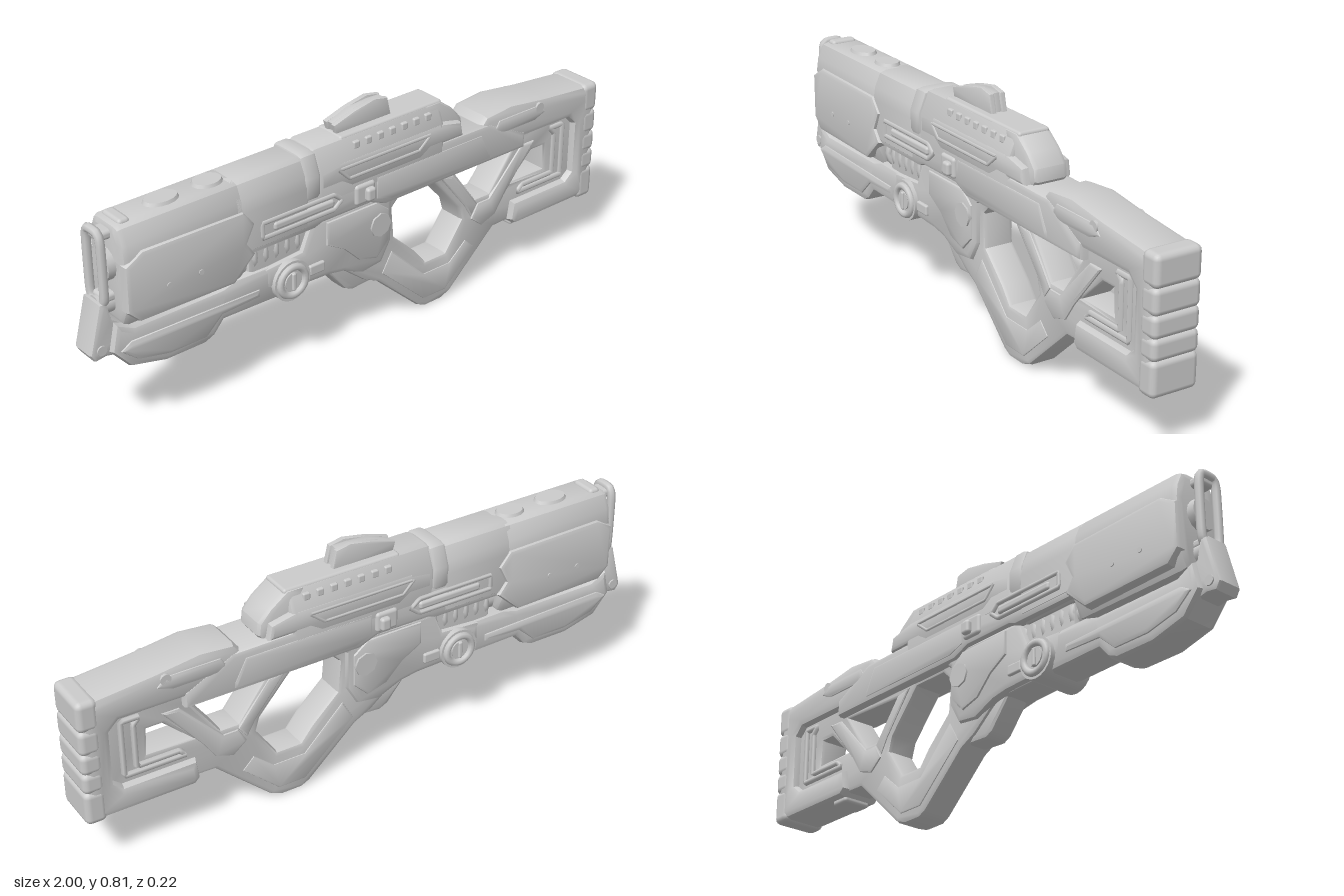
import * as THREE from 'three';
import { toCreasedNormals } from 'three/addons/utils/BufferGeometryUtils.js';
import { RoundedBoxGeometry } from 'three/addons/geometries/RoundedBoxGeometry.js';

const mat = new THREE.MeshStandardMaterial({ color: 0xcccccc, roughness: 0.8 });

export function createModel() {
  const model = new THREE.Group();
  const vecs = (pts) => pts.map(([x, y]) => new THREE.Vector2(x, y));

  function add(name, geo, x = 0, y = 0, z = 0) {
    const mesh = new THREE.Mesh(geo, mat);
    mesh.name = name;
    mesh.position.set(x, y, z);
    model.add(mesh);
    return mesh;
  }
  // Outline extruded to a bevelled solid of the given length, centred on its axis
  function solid(pts, length, bevel, holes = []) {
    const shape = new THREE.Shape(vecs(pts));
    holes.forEach((h) => shape.holes.push(new THREE.Path(vecs(h))));
    const geo = new THREE.ExtrudeGeometry(shape, {
      depth: length - 2 * bevel, bevelThickness: bevel, bevelSize: bevel, bevelOffset: -bevel, bevelSegments: 2,
    });
    geo.translate(0, 0, -length / 2 + bevel);
    return toCreasedNormals(geo, 0.6);
  }
  // Side outline (x, y) given thickness across z
  const slab = (name, pts, half, bevel = 0.015, holes = []) => add(name, solid(pts, half * 2, bevel, holes));
  // Right half of a cross-section (z, y), mirrored and swept along x
  function beam(name, halfSection, x0, x1, bevel = 0.015) {
    const mirrored = halfSection.map(([z, y]) => [-z, y]).reverse();
    const geo = solid([...halfSection, ...mirrored], x1 - x0, bevel);
    geo.rotateY(Math.PI / 2);
    return add(name, geo, (x0 + x1) / 2);
  }
  const block = (name, x0, x1, y0, y1, half, r = 0.012) =>
    add(name, new RoundedBoxGeometry(x1 - x0, y1 - y0, half * 2, 2, r), (x0 + x1) / 2, (y0 + y1) / 2);
  const disc = (name, x, y, r, half, sides = 20) =>
    add(name, new THREE.CylinderGeometry(r, r, half * 2, sides).rotateX(Math.PI / 2), x, y);
  // Raised rim following a closed outline on both faces
  function rim(name, pts, z, r = 0.006) {
    const curve = new THREE.CurvePath();
    const v = pts.map(([x, y]) => new THREE.Vector3(x, y, 0));
    v.forEach((p, i) => curve.add(new THREE.LineCurve3(p, v[(i + 1) % v.length])));
    for (const s of [1, -1]) add(name, new THREE.TubeGeometry(curve, 80, r, 5, true), 0, 0, s * z);
  }

  // Open skeleton frame with grip, guard and stock core
  const gripHole = [[0.115, 0.42], [0.15, 0.455], [0.28, 0.455], [0.4, 0.32], [0.415, 0.27], [0.345, 0.17],
    [0.26, 0.17], [0.22, 0.22], [0.125, 0.31]];
  const strutHole = [[0.385, 0.445], [0.63, 0.455], [0.535, 0.325], [0.475, 0.325]];
  const stockHole = [[0.635, 0.335], [0.725, 0.42], [0.775, 0.42], [0.78, 0.335]];
  slab('frame', [[-0.45, 0.29], [-0.17, 0.28], [-0.1, 0.28], [0, 0.2], [0.06, 0.17], [0.23, 0.015], [0.26, 0],
    [0.33, 0], [0.37, 0.015], [0.56, 0.19], [0.95, 0.2], [0.95, 0.57], [-0.45, 0.57]], 0.053, 0.014,
  [gripHole, strutHole, stockHole]);
  slab('guardPlate', [[0.07, 0.2], [0.25, 0.035], [0.345, 0.035], [0.47, 0.15], [0.43, 0.19], [0.36, 0.13],
    [0.25, 0.13], [0.11, 0.27]], 0.057, 0.006);
  slab('gripPlate', [[0.31, 0.46], [0.37, 0.45], [0.48, 0.31], [0.45, 0.27], [0.42, 0.32]], 0.058, 0.008);
  slab('stockStrut', [[0.48, 0.31], [0.53, 0.31], [0.67, 0.46], [0.73, 0.46], [0.6, 0.3], [0.56, 0.24], [0.5, 0.22],
    [0.45, 0.26]], 0.06, 0.01);

  // Lower receiver
  slab('lowerReceiver', [[-0.3, 0.29], [-0.16, 0.285], [-0.1, 0.275], [-0.02, 0.24], [0.06, 0.25], [0.1, 0.32],
    [0.1, 0.45], [0.16, 0.5], [-0.22, 0.5], [-0.26, 0.41], [-0.4, 0.4], [-0.4, 0.33]], 0.07, 0.02);
  slab('receiverFlank', [[-0.17, 0.4], [-0.1, 0.36], [-0.04, 0.3], [0.03, 0.28], [0.08, 0.33], [0.08, 0.44],
    [0.03, 0.48], [-0.17, 0.48]], 0.078, 0.01);
  slab('magazineWell', [[-0.16, 0.3], [-0.07, 0.19], [-0.04, 0.175], [0.04, 0.18], [0.06, 0.3]], 0.042);
  disc('receiverBoss', 0.04, 0.4, 0.04, 0.084, 8);
  block('receiverLatch', -0.24, -0.18, 0.32, 0.355, 0.08, 0.006);

  // Central rail joining barrel and stock
  slab('rail', [[-0.5, 0.48], [-0.22, 0.48], [-0.19, 0.49], [0, 0.49], [0.06, 0.465], [0.66, 0.465], [0.66, 0.52],
    [0.5, 0.6], [-0.5, 0.61]], 0.084);
  slab('railStrip', [[0.02, 0.5], [0.08, 0.48], [0.5, 0.48], [0.5, 0.5], [0.46, 0.575], [0.02, 0.575]], 0.088, 0.008);
  rim('ventRim', [[-0.42, 0.525], [-0.15, 0.525], [-0.12, 0.55], [-0.15, 0.575], [-0.42, 0.575]], 0.086, 0.008);
  block('vent', -0.38, -0.15, 0.535, 0.563, 0.093, 0.01);
  block('selectorBase', -0.07, 0.01, 0.505, 0.575, 0.094);
  block('selector', -0.035, 0, 0.515, 0.56, 0.11, 0.01);

  // Barrel shroud: full section in front, shallower over the coils
  const shroudTop = [[0.088, 0.63], [0.082, 0.67], [0.062, 0.715], [0.04, 0.722]];
  beam('barrelShroud', [[0.06, 0.405], [0.085, 0.46], ...shroudTop], -0.9, -0.47, 0.02);
  beam('rearShroud', [[0.06, 0.475], [0.085, 0.5], ...shroudTop], -0.52, -0.24, 0.015);
  slab('shroudPanel', [[-0.9, 0.46], [-0.86, 0.42], [-0.53, 0.415], [-0.45, 0.49], [-0.48, 0.53], [-0.45, 0.59],
    [-0.49, 0.64], [-0.84, 0.645], [-0.9, 0.61]], 0.098);
  for (const x of [-0.76, -0.65]) disc('panelRivet', x, 0.505, 0.009, 0.101, 8);
  for (const [x, rx] of [[-0.71, 0.07], [-0.55, 0.06]]) {
    const pad = add('topPad', new THREE.CylinderGeometry(0.75, 1, 1, 16), x, 0.717);
    pad.scale.set(rx, 0.03, 0.048);
  }
  block('frontSight', -0.88, -0.84, 0.7, 0.732, 0.045);
  beam('shroudCollar', [[0.07, 0.56], [0.09, 0.6], [0.09, 0.66], [0.065, 0.725], [0.04, 0.73]], -0.26, -0.2, 0.012);

  // Coils around a tube under the shroud
  add('coilTube', new THREE.CylinderGeometry(0.045, 0.045, 0.3, 14).rotateZ(Math.PI / 2), -0.36, 0.445);
  for (let i = 0; i < 6; i++) {
    const coil = add('coil', new THREE.TorusGeometry(0.05, 0.013, 6, 14), -0.45 + i * 0.04, 0.445);
    coil.rotation.set(0, Math.PI / 2 - 0.35, 0);
  }

  // Muzzle bolt and front loop
  add('muzzleBolt', new THREE.CylinderGeometry(0.032, 0.032, 0.08, 14).rotateZ(Math.PI / 2), -0.91, 0.465);
  add('muzzlePlug', new THREE.CylinderGeometry(0.05, 0.05, 0.04, 14).rotateZ(Math.PI / 2), -0.905, 0.59);
  const loop = new THREE.CatmullRomCurve3([[0.48, 0.025], [0.51, 0.036], [0.67, 0.036], [0.705, 0.025], [0.705, -0.025],
    [0.67, -0.036], [0.51, -0.036], [0.48, -0.025]].map(([y, z]) => new THREE.Vector3(-0.938, y, z)), true, 'catmullrom', 0.3);
  add('frontLoop', new THREE.TubeGeometry(loop, 48, 0.014, 8, true));
  for (const y of [0.49, 0.69]) block('loopMount', -0.94, -0.88, y - 0.015, y + 0.015, 0.03);

  // Handguard under the barrel, with a narrower upright tip
  slab('handguard', [[-0.94, 0.33], [-0.88, 0.26], [-0.76, 0.23], [-0.62, 0.23], [-0.585, 0.245], [-0.55, 0.285],
    [-0.3, 0.28], [-0.25, 0.4], [-0.5, 0.405], [-0.55, 0.39], [-0.86, 0.39], [-0.92, 0.42]], 0.066, 0.02);
  slab('handguardTip', [[-1, 0.335], [-0.985, 0.31], [-0.95, 0.315], [-0.88, 0.3], [-0.86, 0.385], [-0.92, 0.43],
    [-0.935, 0.49], [-0.96, 0.49]], 0.045, 0.012);
  slab('handguardPanel', [[-0.92, 0.33], [-0.86, 0.28], [-0.75, 0.255], [-0.62, 0.255], [-0.56, 0.31], [-0.42, 0.315],
    [-0.42, 0.345], [-0.88, 0.355]], 0.074);
  disc('tipPin', -0.965, 0.345, 0.016, 0.05, 10);

  // Pivot dial
  disc('pivotHousing', -0.31, 0.335, 0.068, 0.083);
  for (const s of [1, -1]) add('pivotRing', new THREE.TorusGeometry(0.048, 0.012, 8, 24), -0.31, 0.335, s * 0.083);
  disc('pivotDial', -0.31, 0.335, 0.03, 0.088);
  block('pivotGrip', -0.317, -0.303, 0.305, 0.365, 0.095, 0.005);

  // Upper housing
  beam('upperHousing', [[0.085, 0.56], [0.085, 0.66], [0.055, 0.73], [0.03, 0.735]], -0.21, 0.3, 0.015);
  slab('housingSide', [[-0.2, 0.6], [-0.12, 0.6], [-0.08, 0.575], [0.2, 0.575], [0.24, 0.6], [0.38, 0.6], [0.37, 0.65],
    [0.28, 0.67], [-0.12, 0.67], [-0.2, 0.66]], 0.086, 0.012);
  rim('housingTrim', [[-0.13, 0.65], [-0.09, 0.61], [0.19, 0.61], [0.24, 0.65]], 0.085);
  slab('housingRear', [[0.24, 0.58], [0.38, 0.58], [0.4, 0.61], [0.395, 0.65], [0.36, 0.69], [0.3, 0.735], [0.24, 0.735]],
    0.062, 0.018);
  for (let i = 0; i < 7; i++) block('railStud', -0.06 + i * 0.048, -0.035 + i * 0.048, 0.69, 0.715, 0.072, 0.005);
  block('topRail', -0.1, 0.31, 0.715, 0.738, 0.055, 0.01);

  // Sight: two cheeks and a core leave a shallow groove along the top
  const sight = [[-0.09, 0.73], [-0.1, 0.765], [-0.02, 0.79], [0.06, 0.805], [0.11, 0.795], [0.125, 0.73]];
  for (const s of [1, -1]) slab('sightCheek', sight, 0.009, 0.004).position.z = s * 0.019;
  slab('sightCore', sight.map(([x, y]) => [x * 0.94, Math.min(y, 0.796)]), 0.018, 0.004);

  // Stock: C-shaped shell, ribbed butt pad, cheek rest
  slab('stockShell', [[0.47, 0.5], [0.45, 0.58], [0.49, 0.625], [0.6, 0.635], [0.75, 0.615], [0.96, 0.595], [0.988, 0.565],
    [0.988, 0.21], [0.96, 0.18], [0.64, 0.18], [0.62, 0.2], [0.63, 0.265], [0.87, 0.265], [0.9, 0.29], [0.9, 0.47],
    [0.87, 0.5]], 0.079, 0.022);
  rim('stockTrim', [[0.66, 0.29], [0.86, 0.29], [0.86, 0.48], [0.8, 0.48], [0.82, 0.46], [0.82, 0.31], [0.68, 0.31]], 0.055, 0.01);
  [0.176, 0.285, 0.352, 0.42, 0.5, 0.597].forEach((y, i, ys) => {
    if (i) block('buttPadRib', 0.93, 1, ys[i - 1] - 0.003, y + 0.003, 0.081, 0.02);
  });
  slab('cheekRest', [[0.52, 0.57], [0.54, 0.6], [0.72, 0.6], [0.75, 0.57], [0.7, 0.55], [0.55, 0.55]], 0.084, 0.008);
  disc('stockPin', 0.72, 0.59, 0.018, 0.084, 10);
  block('stockFoot', 0.64, 0.71, 0.165, 0.2, 0.05, 0.01);

  return model;
}
